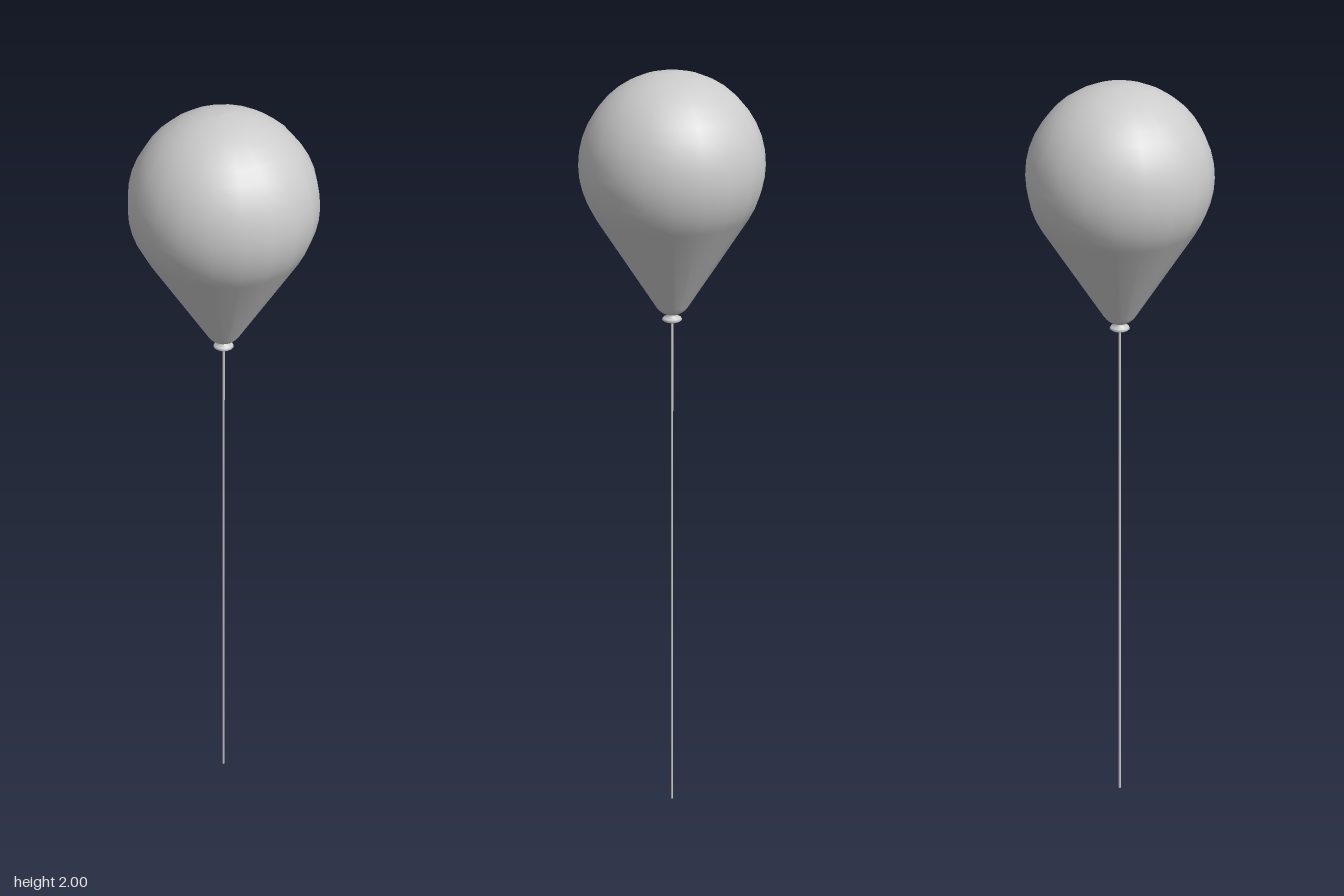
import * as THREE from 'three';

export function createModel() {
  const model = new THREE.Group();
  const material = new THREE.MeshStandardMaterial({ color: 0xcccccc, side: THREE.DoubleSide });
  const SIDES = 20;

  const add = (name, geometry) => {
    const mesh = new THREE.Mesh(geometry, material);
    mesh.name = name;
    model.add(mesh);
    return mesh;
  };

  // Points on a circle around the axis, from one elevation angle to another
  const arc = (cy, r, from, to, steps) =>
    Array.from({ length: steps + 1 }, (_, i) => {
      const a = THREE.MathUtils.degToRad(from + ((to - from) * i) / steps);
      return new THREE.Vector2(Math.max(0, r * Math.cos(a)), cy + r * Math.sin(a));
    });

  // Balloon: small round tip, straight taper, large round crown (tangent at -32 degrees)
  const profile = [
    ...arc(1.447, 0.047, -90, -32, 5),
    ...arc(1.776, 0.224, -32, 0, 4),
    ...arc(1.776, 0.224, 0, 90, 10).slice(1),
  ];
  add('balloon', new THREE.LatheGeometry(profile, SIDES));

  // Knot: short neck flaring into a thin rolled lip
  const knot = [[0, 1.384], [0.02, 1.384], [0.025, 1.388], [0.022, 1.393], [0.012, 1.397], [0.012, 1.406]];
  add('knot', new THREE.LatheGeometry(knot.map(([x, y]) => new THREE.Vector2(x, y)), SIDES));

  // String hanging straight down from the knot
  add('string', new THREE.CylinderGeometry(0.003, 0.003, 1.39, 8)).position.y = 0.695;

  return model;
}
